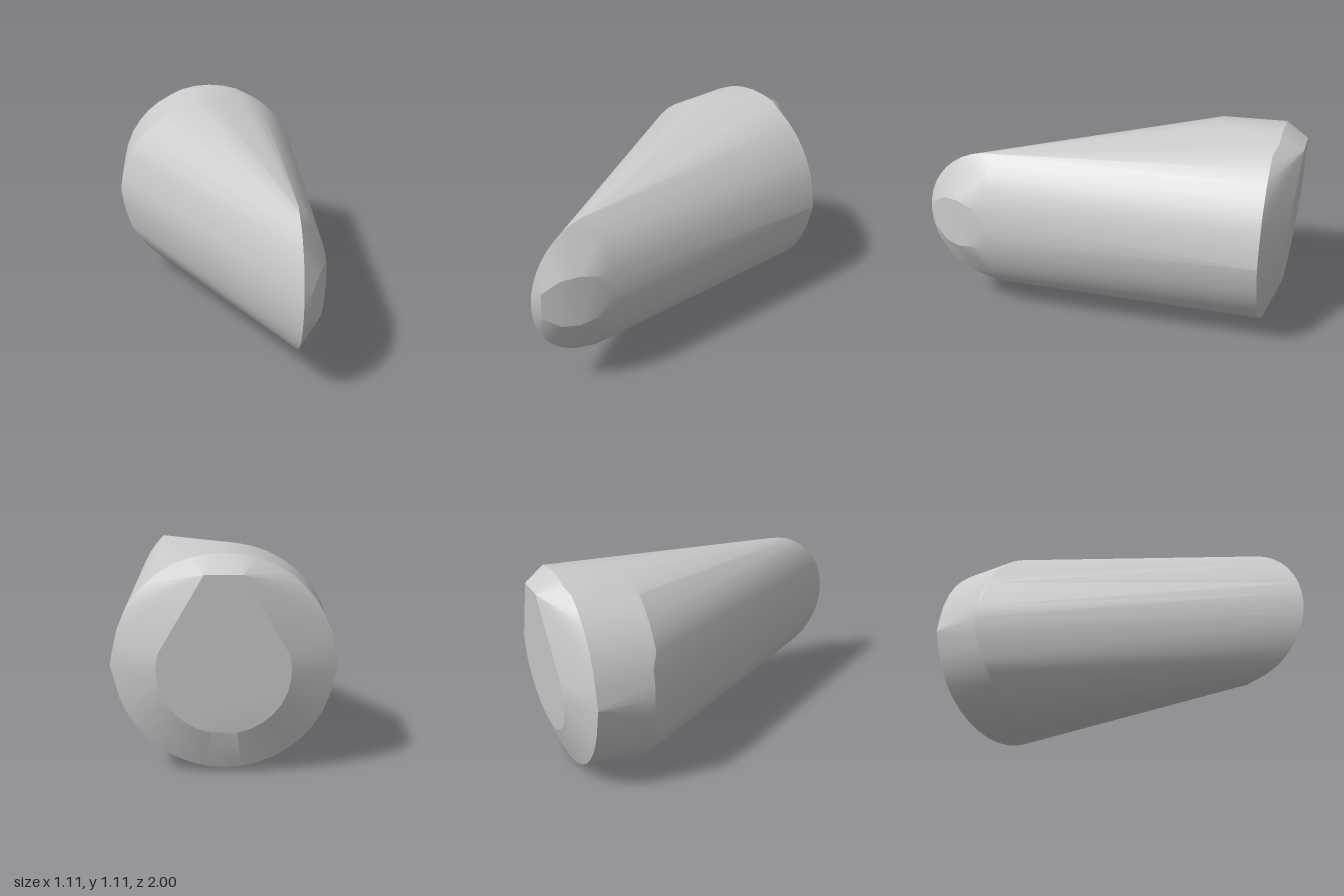
import * as THREE from 'three';
import { ConvexGeometry } from 'three/addons/geometries/ConvexGeometry.js';
import { toCreasedNormals } from 'three/addons/utils/BufferGeometryUtils.js';

const MID = 0.555;
const RADIUS = 0.555;

// Points of an arc in the xy plane, angles in degrees
function arc(cx, cy, r, from, to, steps, depth) {
  const points = [];
  for (let i = 0; i <= steps; i++) {
    const a = THREE.MathUtils.degToRad(from + ((to - from) * i) / steps);
    const x = cx + r * Math.cos(a);
    const y = cy + r * Math.sin(a);
    points.push(new THREE.Vector3(x, y, depth(x, y)));
  }
  return points;
}

export function createModel() {
  const points = [];

  // Rear rim of the round body, raised slightly, with its crown set further back
  points.push(...arc(0, 0.568, 0.543, 0, 360, 40, (x, y) => (y > 1.07 ? -0.88 : -0.86)));
  points.push(new THREE.Vector3(RADIUS, MID, -0.86), new THREE.Vector3(-RADIUS, MID, -0.86));

  // Front rim of the short side of the body
  points.push(...arc(0, 0.55, 0.55, 88, 272, 22, (x) => (x < -0.5 ? -0.55 : -0.52)));
  points.push(new THREE.Vector3(-RADIUS, MID, -0.555));

  // Long side of the body, running forward to the tip
  points.push(...arc(0, MID, RADIUS, -44.5, 44.5, 14, () => 0.62));

  // Half-round edge of the tip
  for (let i = 0; i <= 20; i++) {
    const a = -Math.PI / 2 + (Math.PI * i) / 20;
    points.push(new THREE.Vector3(0.392, 0.56 + 0.385 * Math.sin(a), 0.62 + 0.38 * Math.cos(a)));
  }

  // Softly faceted outer cheek of the tip
  for (const side of [-1, 1]) {
    points.push(new THREE.Vector3(0.535, 0.56 + side * 0.12, 0.7));
    points.push(new THREE.Vector3(0.51, 0.56 + side * 0.14, 0.79));
    points.push(new THREE.Vector3(0.475, 0.56 + side * 0.13, 0.88));
    points.push(new THREE.Vector3(0.43, 0.56 + side * 0.07, 0.965));
  }

  // Leaning teardrop plate at the back
  const plateDepth = (x, y) => -1 + (1.03 - y) * 0.075;
  points.push(...arc(0, MID, 0.325, 165, 375, 18, plateDepth));
  for (const side of [-1, 1]) points.push(new THREE.Vector3(side * 0.09, 1.03, -1));

  const geometry = toCreasedNormals(new ConvexGeometry(points), 0.3);
  const body = new THREE.Mesh(geometry, new THREE.MeshStandardMaterial({ color: 0xcccccc }));
  body.name = 'slantedBody';

  const model = new THREE.Group();
  model.name = 'slantedPlug';
  model.add(body);
  return model;
}
